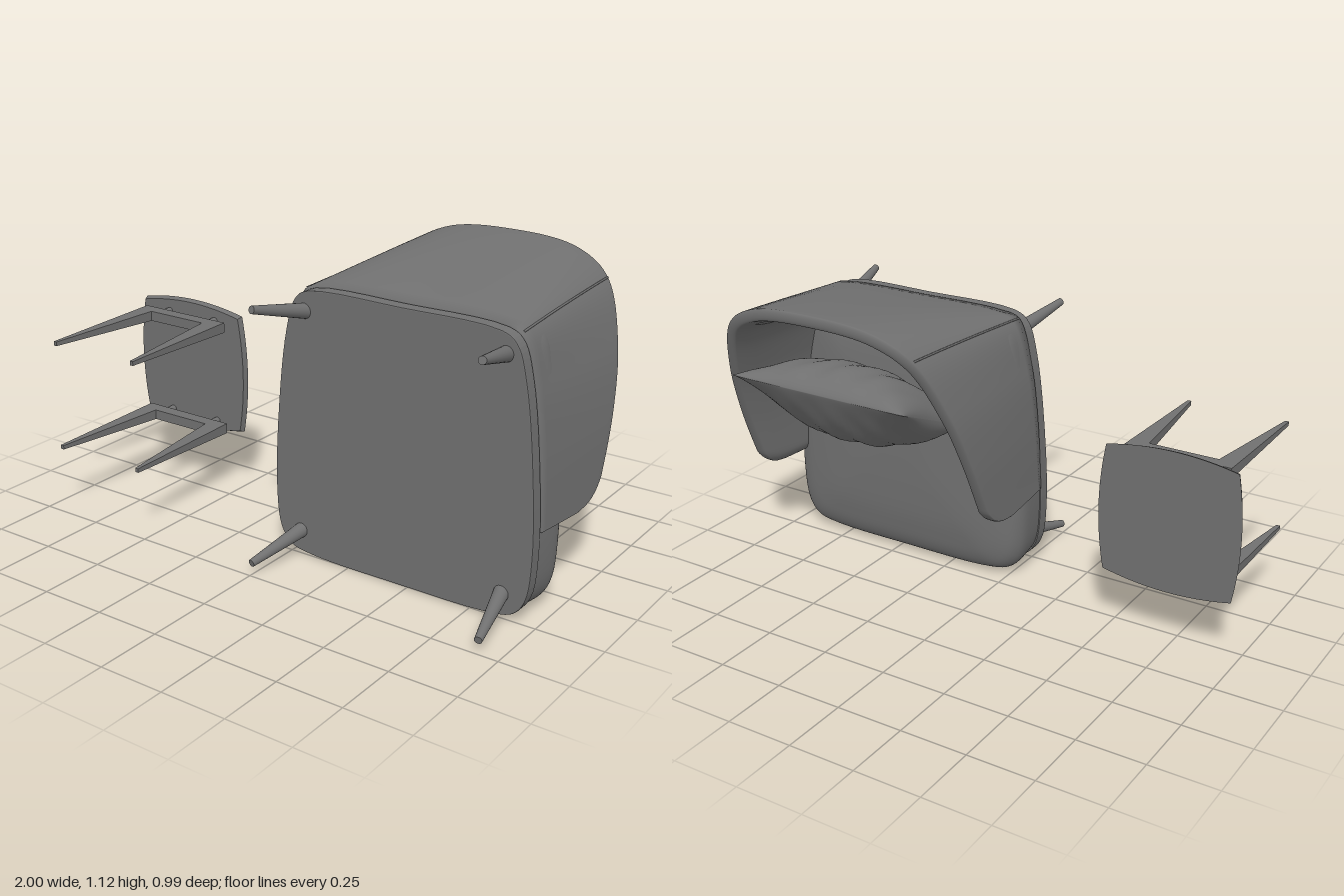
import * as THREE from 'three';

const CX = 0.46; // middle of the armchair
const V = (x, y, z = 0) => new THREE.Vector3(x, y, z);
const lerp = THREE.MathUtils.lerp;

function add(parent, name, geometry, side = THREE.FrontSide) {
  const mesh = new THREE.Mesh(geometry, new THREE.MeshStandardMaterial({ color: 0x707070, side }));
  mesh.name = name;
  parent.add(mesh);
  return mesh;
}

// Skin a list of cross-section loops (each an array of Vector3)
function loft(rows) {
  const n = rows[0].length, pos = [], idx = [];
  rows.forEach(r => r.forEach(p => pos.push(p.x, p.y, p.z)));
  for (let i = 0; i < rows.length - 1; i++) {
    for (let j = 0; j < n; j++) {
      const k = (j + 1) % n, a = i * n + j, b = a + n, c = (i + 1) * n + k, d = i * n + k;
      idx.push(a, b, c, a, c, d);
    }
  }
  const g = new THREE.BufferGeometry();
  g.setAttribute('position', new THREE.Float32BufferAttribute(pos, 3));
  g.setIndex(idx);
  g.computeVertexNormals();
  return g;
}

// Rounded trapezoid plan shared by the base and the seat, counterclockwise
function basePlan() {
  const half = [[0.36, 0.011], [0.455, 0.032], [0.5, 0.09], [0.52, 0.25], [0.503, 0.6],
    [0.47, 0.85], [0.435, 0.965], [0.388, 1.002]];
  const pts = [V(CX, 0.005), ...half.map(([x, y]) => V(CX + x, y)), V(CX, 1.014),
    ...half.slice().reverse().map(([x, y]) => V(CX - x, y))];
  return new THREE.CatmullRomCurve3(pts, true).getPoints(96).slice(0, -1);
}

// U-shaped plan of the shell, from the -x arm round the back to the +x arm
function uPlan(half, back) {
  return new THREE.CatmullRomCurve3([
    ...half.map(([x, y]) => V(CX - x, y)), V(CX, back),
    ...half.slice().reverse().map(([x, y]) => V(CX + x, y))]);
}
const LOW = uPlan([[0.523, 0.33], [0.507, 0.6], [0.478, 0.82], [0.422, 0.995], [0.34, 1.014]], 1.018);
const HIGH = uPlan([[0.554, 0.295], [0.535, 0.6], [0.492, 0.82], [0.4, 1.02], [0.265, 1.1]], 1.125);

// Point on the shell at u along the plan and depth z, moved inward by inset
function shellPoint(u, z, inset) {
  const t = (0.21 - z) / 0.7, e = t + 0.4 * t * (1 - t);
  const p = LOW.getPoint(u).lerp(HIGH.getPoint(u), e);
  const d = LOW.getTangent(u).lerp(HIGH.getTangent(u), e).normalize();
  return V(p.x + d.y * inset, p.y - d.x * inset, z);
}

// Rim: rounded at the arm fronts, then a straight slope to the top of the back
const RIM = [[0.297, -0.04], [0.303, -0.086], [0.318, -0.13], [0.342, -0.165], [0.378, -0.198],
  [0.472, -0.236], [1.125, -0.492]];
function rimAt(u) {
  const y = HIGH.getPoint(u).y;
  let i = 0;
  while (i < RIM.length - 2 && y > RIM[i + 1][0]) i++;
  const [a, b] = [RIM[i], RIM[i + 1]];
  return lerp(a[1], b[1], THREE.MathUtils.clamp((y - a[0]) / (b[0] - a[0]), 0, 1));
}

function shellGeometry() {
  const rows = [], N = 120, M = 14, R = 8, bottom = 0.207, lip = 0.009;
  for (let i = 0; i <= N; i++) {
    const u = 0.5 - 0.5 * Math.cos(Math.PI * i / N);
    const k = Math.min(1, Math.min(u, 1 - u) / 0.022);
    const nose = Math.max(0.02, Math.sqrt(1 - (1 - k) ** 2)); // rounds the arm fronts
    const edge = rimAt(u) + lip;
    const row = [];
    for (let j = 0; j <= M; j++) row.push(shellPoint(u, lerp(bottom, edge, j / M), 0));
    for (let j = 1; j < R; j++) {
      const a = Math.PI * j / R;
      row.push(shellPoint(u, edge - lip * Math.sin(a), 0.0225 * nose * (1 - Math.cos(a))));
    }
    for (let j = M; j >= 0; j--) {
      row.push(shellPoint(u, lerp(bottom, edge, j / M), nose * (0.045 + 0.045 * Math.sqrt(1 - j / M))));
    }
    rows.push(row);
  }
  return loft(rows);
}

function seatGeometry(plan) {
  const profile = new THREE.SplineCurve([[0.99, 0.212], [1.003, 0.15], [1.007, 0.1], [0.99, 0.067],
    [0.95, 0.04], [0.88, 0.021], [0.78, 0.008], [0.6, -0.006], [0.3, -0.015], [0.001, -0.018]]
    .map(p => new THREE.Vector2(...p)));
  return loft(profile.getPoints(40).map(({ x: s, y: z }) =>
    plan.map(p => V(CX + (p.x - CX) * s, 0.51 + (p.y - 0.51) * s, z))));
}

function pillowGeometry() {
  const rows = [], N = 48, M = 48;
  for (let i = 0; i <= N; i++) {
    const s = -Math.cos(Math.PI * i / N), puff = Math.pow(Math.max(0, 1 - s * s), 0.5);
    const row = [];
    for (let j = 0; j < M; j++) {
      const a = 2 * Math.PI * j / M, t = Math.cos(a), q = Math.sin(a);
      const fold = 1 + 0.05 * Math.sin(11 * s + 4 * t) * Math.abs(t) + 0.03 * Math.sin(17 * s - 5 * t);
      // the front sags towards the seat, the back is evenly full
      const full = q > 0 ? -Math.pow(q, 1.7) * (1 - 0.45 * t) : Math.pow(-q, 1.2);
      const n = 0.138 * full * puff * fold;
      const v = 0.215 * t * (1 - 0.04 * (1 - s * s));
      const x = 0.378 * s * (1 - 0.06 * (1 - t * t));
      // leaning back against the shell
      row.push(V(CX + x, 0.745 + 0.406 * v + 0.914 * n, -0.28 - 0.914 * v + 0.406 * n));
    }
    rows.push(row);
  }
  return loft(rows);
}

// Tapered round leg between two points
function roundLeg(parent, name, a, b, ra, rb) {
  const dir = b.clone().sub(a);
  const leg = add(parent, name, new THREE.CylinderGeometry(rb, ra, dir.length(), 20));
  leg.position.copy(a).lerp(b, 0.5);
  leg.quaternion.setFromUnitVectors(V(0, 1, 0), dir.normalize());
}

function createArmchair() {
  const chair = new THREE.Group();
  chair.name = 'armchair';
  const plan = basePlan();

  const plate = new THREE.ExtrudeGeometry(new THREE.Shape(plan.map(p => new THREE.Vector2(p.x, p.y))),
    { depth: 0.042, bevelThickness: 0.004, bevelSize: 0.004, bevelOffset: -0.004, bevelSegments: 2 });
  plate.translate(0, 0, 0.214);
  add(chair, 'basePlate', plate);
  add(chair, 'seatCushion', seatGeometry(plan));
  add(chair, 'shell', shellGeometry(), THREE.DoubleSide);
  add(chair, 'pillow', pillowGeometry());

  // Piping between the back and the two sides
  for (const u of [0.3, 0.7]) {
    const top = rimAt(u), pts = [];
    for (let j = 0; j <= 12; j++) pts.push(shellPoint(u, lerp(0.205, top + 0.01, j / 12), 0));
    add(chair, 'backSeam', new THREE.TubeGeometry(new THREE.CatmullRomCurve3(pts), 30, 0.004, 6));
  }

  for (const s of [-1, 1]) {
    roundLeg(chair, 'backLeg', V(CX + s * 0.39, 0.93, 0.25), V(CX + s * 0.437, 0.985, 0.49), 0.028, 0.014);
    roundLeg(chair, 'frontLeg', V(CX + s * 0.41, 0.1, 0.25), V(CX + s * 0.46, 0.045, 0.49), 0.028, 0.014);
  }
  return chair;
}

function createTable() {
  const table = new THREE.Group();
  table.name = 'sideTable';
  const cx = -0.732, cy = 0.481;

  // Bow-sided top with an undercut edge
  const s = new THREE.Shape();
  s.moveTo(-0.245, -0.239);
  s.quadraticCurveTo(0, -0.294, 0.245, -0.239);
  s.quadraticCurveTo(0.291, 0, 0.245, 0.239);
  s.quadraticCurveTo(0, 0.294, -0.245, 0.239);
  s.quadraticCurveTo(-0.291, 0, -0.245, -0.239);
  const top = new THREE.ExtrudeGeometry(s, { depth: 0.02, bevelEnabled: false, curveSegments: 16 });
  const tp = top.attributes.position;
  for (let i = 0; i < tp.count; i++) {
    const k = tp.getZ(i) > 0.01 ? 0.97 : 1;
    tp.setXY(i, tp.getX(i) * k, tp.getY(i) * k);
  }
  top.computeVertexNormals();
  top.translate(cx, cy, -0.088);
  add(table, 'tableTop', top);

  // Two leg frames, thinner towards the feet
  const outline = [[-0.922, -0.025], [-0.525, -0.025], [-0.525, 0.49], [-0.539, 0.49], [-0.595, 0.025],
    [-0.855, 0.025], [-0.908, 0.49], [-0.922, 0.49]];
  for (const y of [0.268, 0.685]) {
    const g = new THREE.ExtrudeGeometry(new THREE.Shape(outline.map(p => new THREE.Vector2(...p))),
      { depth: 0.04, bevelEnabled: false });
    g.translate(0, 0, -0.02).rotateX(Math.PI / 2);
    const p = g.attributes.position;
    for (let i = 0; i < p.count; i++) p.setY(i, p.getY(i) * lerp(1, 0.4, Math.max(0, p.getZ(i)) / 0.49));
    g.computeVertexNormals();
    g.translate(0, y, 0);
    add(table, 'legFrame', g);
    for (const x of [-0.84, -0.61]) {
      const post = add(table, 'post', new THREE.CylinderGeometry(0.015, 0.015, 0.05, 16).rotateX(Math.PI / 2));
      post.position.set(x, y, -0.047);
    }
  }
  return table;
}

export function createModel() {
  const model = new THREE.Group();
  model.name = 'armchairAndTable';
  model.add(createArmchair(), createTable());
  return model;
}
